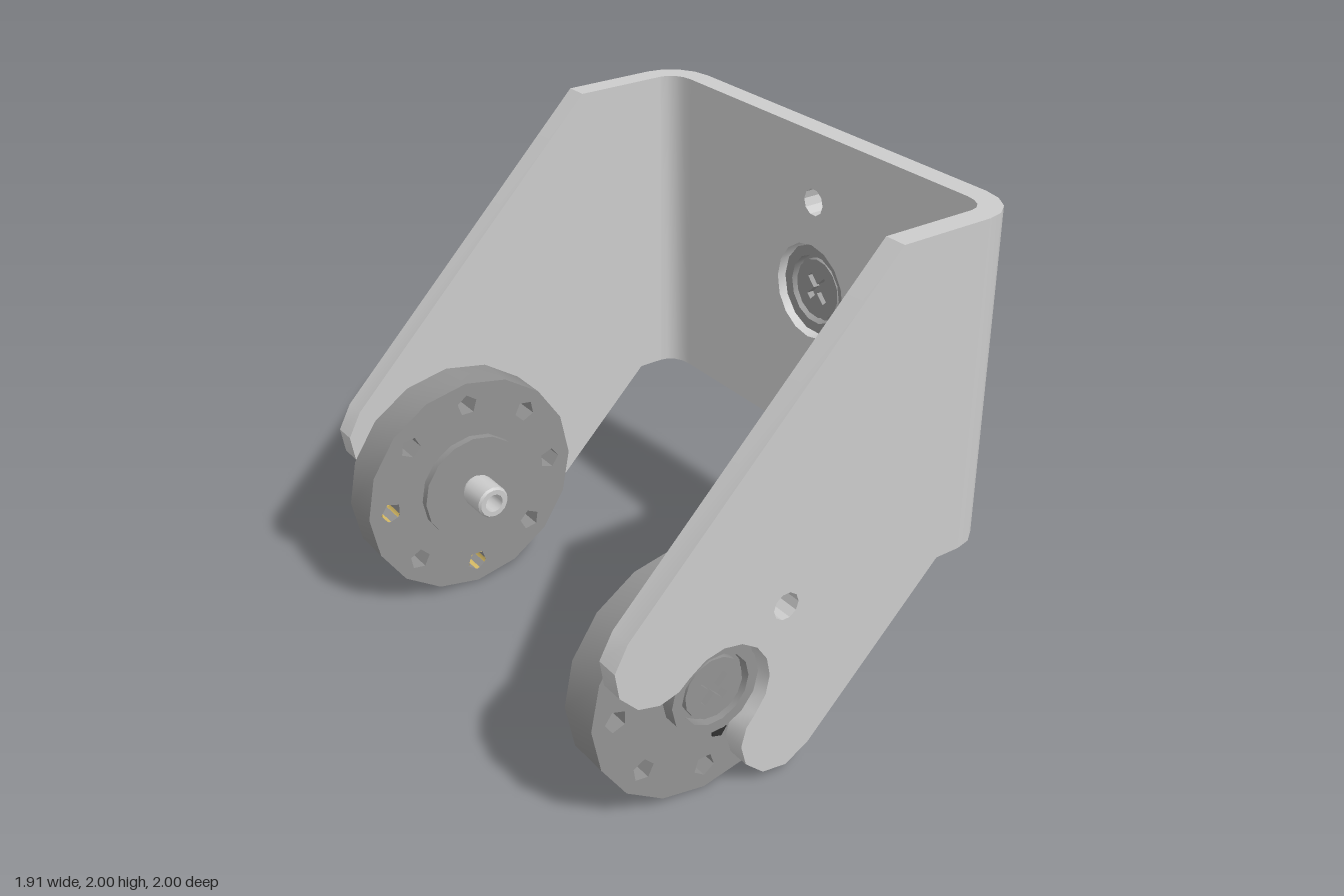
import * as THREE from 'three';
import { toCreasedNormals } from 'three/addons/utils/BufferGeometryUtils.js';

const mat = (color) => new THREE.MeshStandardMaterial({ color });
const light = mat(0xcccccc), dark = mat(0x929292), black = mat(0x303030);
const brass = new THREE.MeshStandardMaterial({ color: 0xd8bc66, side: THREE.DoubleSide });

const HUB = [-0.48, 0.485]; // pivot of the arms in x, y
const polar = (r, a) => new THREE.Vector2(r * Math.cos(a), r * Math.sin(a));

function ngon(r, n, start = 0, cx = 0, cy = 0) {
  return Array.from({ length: n }, (_, i) =>
    polar(r, start + (i / n) * Math.PI * 2).add(new THREE.Vector2(cx, cy)));
}

// Solid plate along z from an outline and hole outlines
function plate(name, outline, holes, depth, material, z = 0) {
  const shape = new THREE.Shape(outline);
  shape.holes = holes.map((h) => new THREE.Path(h));
  const geo = new THREE.ExtrudeGeometry(shape, { depth, bevelEnabled: false });
  const mesh = new THREE.Mesh(toCreasedNormals(geo, 0.6), material);
  mesh.name = name;
  mesh.position.z = z;
  return mesh;
}

// Round horn with its eight holes; the hub points along +z
function horn(name, hollow, markAngles) {
  const g = new THREE.Group();
  g.name = name;
  const holes = [];
  for (let i = 0; i < 8; i++) {
    const a = (i * Math.PI) / 4, p = polar(0.38, a);
    holes.push(ngon(0.046, 5, a, p.x, p.y));
  }
  if (hollow) holes.push(ngon(0.12, 12));
  g.add(plate('hornDisc', ngon(0.48, 16, Math.PI / 2), holes, 0.165, dark));
  g.add(plate('hubRing', ngon(0.188, 14), [ngon(hollow ? 0.125 : 0.145, 14)], 0.06, dark, 0.165));

  // index lines on the rim
  for (const a of markAngles) {
    const mark = new THREE.Mesh(new THREE.BoxGeometry(0.012, 0.012, 0.163), black);
    const p = polar(0.474, a);
    mark.name = 'rimMark';
    mark.position.set(p.x, p.y, 0.0825);
    mark.rotation.z = a;
    g.add(mark);
  }
  return g;
}

// Cross-head screw seated in the hub
function screw() {
  const g = new THREE.Group();
  g.name = 'centreScrew';
  const l = 0.068, w = 0.014;
  const cross = [[l, -w], [l, w], [w, w], [w, l], [-w, l], [-w, w], [-l, w],
    [-l, -w], [-w, -w], [-w, -l], [w, -l], [w, -w]].map(([x, y]) => new THREE.Vector2(x, y));
  const base = plate('screwBase', ngon(0.143, 14), [], 0.02, dark, 0.165);
  const head = plate('screwHead', ngon(0.125, 14), [cross], 0.03, dark, 0.185);
  g.add(base, head);
  g.rotation.z = Math.PI / 4;
  return g;
}

// Side arm: slotted end around the hub, 45 degree edges
function arm(name, z) {
  const s = Math.SQRT1_2;
  const uv = ([u, v]) => new THREE.Vector2(HUB[0] + (u + v) * s, HUB[1] + (u - v) * s);
  const tip = [[0, 0.56], [-0.11, 0.527], [-0.173, 0.44], [-0.177, 0.33], [-0.13, 0.25], [-0.06, 0.21]];
  const slot = [];
  for (let i = 0; i <= 8; i++) {
    const a = Math.PI / 2 - (i * Math.PI) / 8;
    slot.push([0.205 * Math.cos(a), 0.205 * Math.sin(a)]);
  }
  const mirrored = tip.map(([u, v]) => [u, -v]).reverse();
  const outline = [
    new THREE.Vector2(0.62, 2), new THREE.Vector2(0.23, 2),
    ...[...tip, ...slot, ...mirrored].reverse().map(uv),
    new THREE.Vector2(0.51, 0.675), new THREE.Vector2(0.62, 0.675),
  ];
  const c = uv([0.38, 0]);
  return plate(name, outline, [ngon(0.055, 10, 0, c.x, c.y)], 0.09, light, z);
}

// Rounded upright corner between an arm and the back wall
function corner(name, side) {
  const pts = [];
  for (let i = 0; i <= 4; i++) {
    const a = (i * Math.PI) / 8;
    pts.push(new THREE.Vector2(0.62 + 0.17 * Math.sin(a), side * (0.81 + 0.19 * Math.cos(a))));
  }
  for (let i = 4; i >= 0; i--) {
    const a = (i * Math.PI) / 8;
    pts.push(new THREE.Vector2(0.62 + 0.08 * Math.sin(a), side * (0.81 + 0.1 * Math.cos(a))));
  }
  const mesh = plate(name, pts, [], 1.325, light);
  mesh.rotation.x = -Math.PI / 2; // shape y becomes -z, depth becomes y
  mesh.position.y = 0.675;
  return mesh;
}

export function createModel() {
  const model = new THREE.Group();
  model.name = 'servoBracket';

  // U-shaped bracket
  const bracket = new THREE.Group();
  bracket.name = 'bracket';
  bracket.add(arm('frontArm', 0.91), arm('rearArm', -1));
  bracket.add(corner('frontCorner', -1), corner('rearCorner', 1));
  const V = (x, y) => new THREE.Vector2(x, y);
  const wall = plate('wall', [V(-0.81, 0.675), V(0.81, 0.675), V(0.81, 2), V(-0.81, 2)],
    [ngon(0.2, 16, 0, 0, 1.335), ngon(0.055, 10, 0, 0, 1.715)], 0.09, light);
  wall.rotation.y = Math.PI / 2;
  wall.position.set(0.7, 0, 0);
  bracket.add(wall);
  model.add(bracket);

  // Front horn with screw and two small locating pins
  const front = horn('frontHorn', false, [Math.PI / 4]);
  front.add(screw());
  for (const [x, y] of [[-0.24, 0.06], [0.06, -0.24]]) {
    const pin = plate('locatingPin', ngon(0.035, 5), [], 0.006, black, 0.165);
    pin.position.x = x;
    pin.position.y = y;
    front.add(pin);
  }
  front.position.set(HUB[0], HUB[1], 0.73);
  model.add(front);

  // Horn on the outside of the wall
  const side = horn('wallHorn', false, [0, Math.PI]);
  side.add(screw());
  side.rotation.y = -Math.PI / 2;
  side.position.set(0.955, 1.335, 0);
  model.add(side);

  // Rear idler horn with flange, hollow shaft and brass inserts
  const rear = horn('rearHorn', true, []);
  rear.add(plate('flange', ngon(0.236, 16), [ngon(0.055, 12)], 0.032, dark, -0.032));
  const profile = [[0.04, 0.02], [0.04, -0.18], [0.062, -0.18], [0.07, -0.17], [0.07, -0.05],
    [0.06, -0.04], [0.06, 0.02], [0.04, 0.02]].map(([r, h]) => V(r, h));
  const shaft = new THREE.Mesh(
    toCreasedNormals(new THREE.LatheGeometry(profile, 14), 0.6),
    new THREE.MeshStandardMaterial({ color: 0xcccccc, side: THREE.DoubleSide }));
  shaft.name = 'shaft';
  shaft.rotation.x = Math.PI / 2;
  rear.add(shaft);
  for (const a of [0, -Math.PI / 2]) {
    const p = polar(0.38, a);
    const insert = new THREE.Mesh(new THREE.CylinderGeometry(0.042, 0.042, 0.164, 10, 1, true), brass);
    insert.name = 'brassInsert';
    insert.rotation.x = Math.PI / 2;
    insert.position.set(p.x, p.y, 0.0825);
    rear.add(insert);
  }
  rear.rotation.y = Math.PI;
  rear.position.set(HUB[0], HUB[1], -0.735);
  model.add(rear);

  return model;
}
